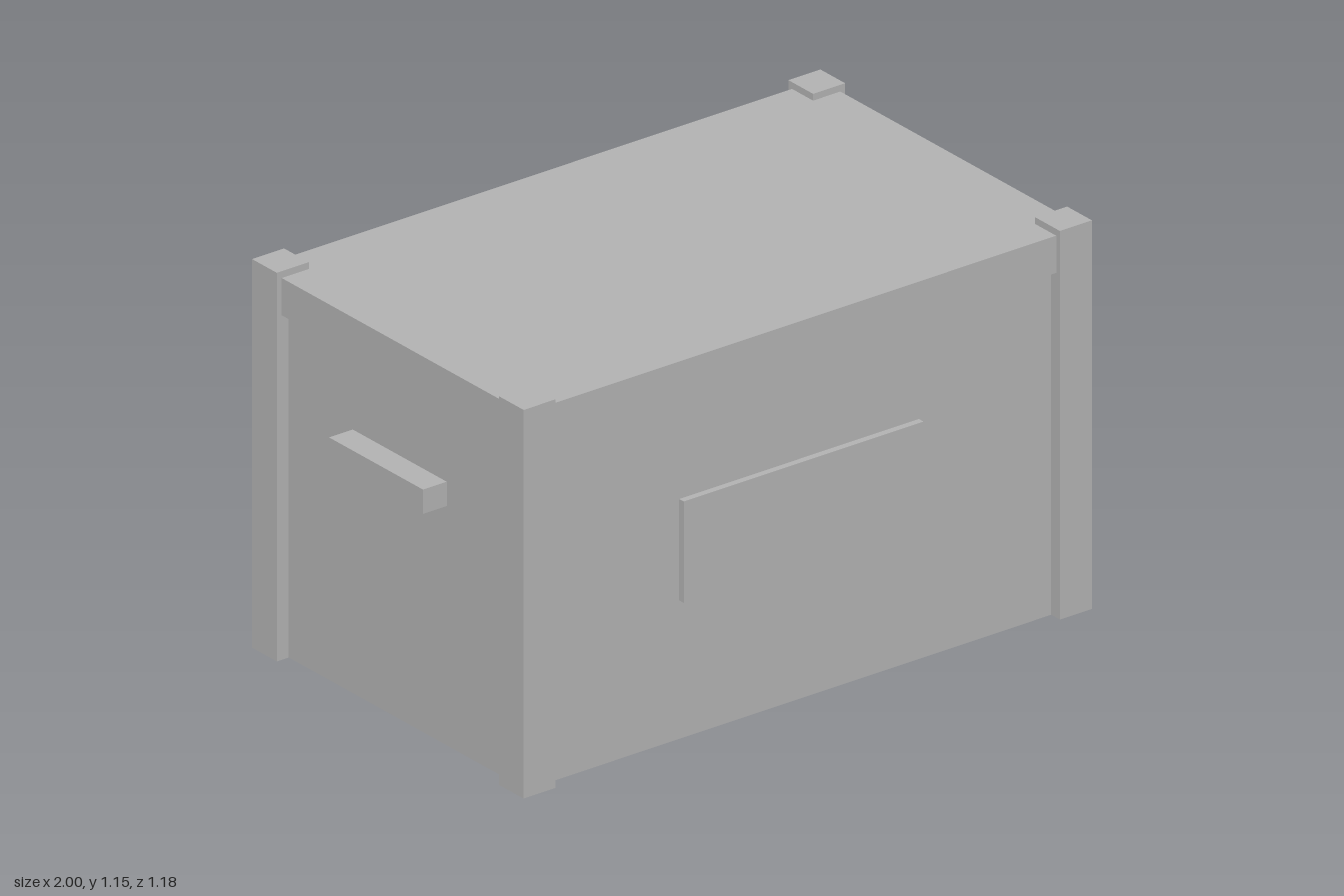
import * as THREE from 'three';

export function createModel() {
  const model = new THREE.Group();
  model.name = 'storageChest';

  const grey = new THREE.MeshStandardMaterial({ color: 0xb2b2b2 });
  grey.name = 'grey';

  // Box given by its size and its centre in x and z, with its underside at y
  function box(name, w, h, d, x, y, z) {
    const mesh = new THREE.Mesh(new THREE.BoxGeometry(w, h, d), grey);
    mesh.name = name;
    mesh.position.set(x, y + h / 2, z);
    model.add(mesh);
  }

  // Body and slightly overhanging lid
  box('body', 1.84, 1.02, 1.108, 0, 0, 0);
  box('lid', 1.888, 0.11, 1.152, 0, 1.02, 0);

  // Front label plate
  box('frontPlate', 0.81, 0.3, 0.02, 0, 0.41, 0.564);

  for (const side of [1, -1]) {
    const sideName = side > 0 ? 'left' : 'right';

    // Carrying handle on each end
    box(sideName + 'Handle', 0.08, 0.072, 0.41, side * 0.96, 0.708, 0);

    // Corner posts, standing proud of the lid
    for (const end of [1, -1]) {
      const endName = end > 0 ? 'Front' : 'Back';
      box(sideName + endName + 'Post', 0.108, 1.15, 0.108, side * 0.906, 0, end * 0.538);
    }
  }

  return model;
}
